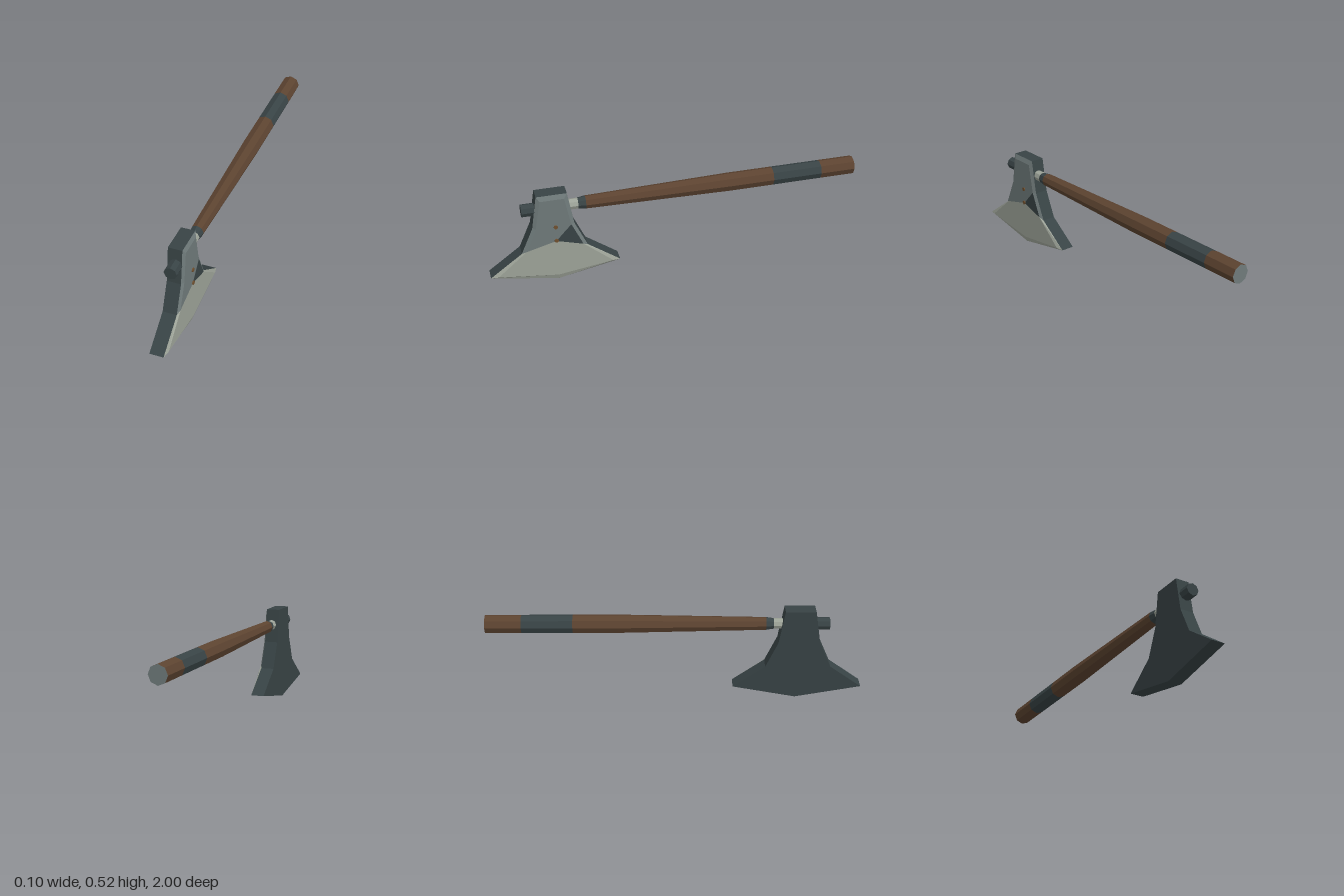
import * as THREE from 'three';

const mat = (name, color) => {
  const m = new THREE.MeshStandardMaterial({ color, flatShading: true });
  m.name = name;
  return m;
};

export function createModel() {
  const darkSteel = mat('dark steel', 0x384345);
  const steel = mat('steel', 0x6f7a7a);
  const blade = mat('polished blade', 0x9da398);
  const wood = mat('wood', 0x5c4330);
  const rivetMat = mat('rivet bronze', 0x70502f);

  const root = new THREE.Group();
  root.name = 'axe';
  const add = (parent, name, geo, material) => {
    const m = new THREE.Mesh(geo, material);
    m.name = name;
    parent.add(m);
    return m;
  };

  // Handle: octagonal sections along z, [name, zBack, zFront, rBack, rFront, material]
  const handle = new THREE.Group();
  handle.name = 'handle';
  handle.position.y = 0.432;
  root.add(handle);
  const sections = [
    ['pommelWood', -1, -0.81, 0.05, 0.05, wood],
    ['gripBand', -0.81, -0.54, 0.05, 0.05, darkSteel],
    ['upperGrip', -0.54, -0.3, 0.05, 0.05, wood],
    ['taperedShaft', -0.3, 0.475, 0.05, 0.035, wood],
    ['neckBand', 0.475, 0.515, 0.035, 0.029, darkSteel],
    ['collar', 0.515, 0.6, 0.029, 0.029, blade],
    ['frontStub', 0.7, 0.81, 0.034, 0.034, darkSteel],
  ];
  for (const [name, z0, z1, r0, r1, material] of sections) {
    const geo = new THREE.CylinderGeometry(r1, r0, z1 - z0, 8);
    geo.rotateX(Math.PI / 2);
    geo.translate(0, 0, (z0 + z1) / 2);
    add(handle, name, geo, name === 'pommelWood' ? [wood, wood, steel] : material);
  }

  // Head, drawn in a plane (u, y) and turned so that u points to -z
  const head = new THREE.Group();
  head.name = 'head';
  head.rotation.y = Math.PI / 2;
  head.position.set(-0.042, 0, 0.652);
  root.add(head);

  // Counter-clockwise outlines: lower edge, tip, shoulder, neck, top, and mirrored
  const outline = (half, bottom) => [
    [0.008, bottom],
    ...half,
    ...half.slice().reverse().map(([u, y]) => [-u, y]),
  ];
  const outer = outline([[0.345, 0.065], [0.174, 0.19], [0.11, 0.335], [0.08, 0.52]], 0);
  const inner = outline([[0.305, 0.07], [0.15, 0.203], [0.092, 0.335], [0.063, 0.495]], 0.03);
  const shape = (pts) => new THREE.Shape(pts.map(([u, y]) => new THREE.Vector2(u, y)));
  const DEPTH = 0.074, FACE = 0.084;

  add(head, 'headBody', new THREE.ExtrudeGeometry(shape(outer), { depth: DEPTH, bevelEnabled: false }), darkSteel);

  // Bevelled rim between the outer and inner outline
  const rim = (name, edges, material) => {
    const pos = [];
    for (const i of edges) {
      const j = (i + 1) % outer.length;
      const a = [...outer[i], DEPTH], b = [...outer[j], DEPTH];
      const c = [...inner[j], FACE], d = [...inner[i], FACE];
      pos.push(...a, ...b, ...c, ...a, ...c, ...d);
    }
    const geo = new THREE.BufferGeometry();
    geo.setAttribute('position', new THREE.Float32BufferAttribute(pos, 3));
    geo.computeVertexNormals();
    add(head, name, geo, material);
  };
  rim('bladeBevel', [0, 1, 7, 8], blade);
  rim('neckBevel', [2, 3, 4, 5, 6], steel);

  // Flat cheek, split into neck, blade and dark patch
  const face = (name, pts, material) => {
    add(head, name, new THREE.ShapeGeometry(shape(pts)), material).position.z = FACE;
  };
  const peak = [0.01, 0.245];
  const [bottom, tipR, shoulderR, neckR, topR, topL, neckL, shoulderL, tipL] = inner;
  face('bladeFace', [bottom, tipR, shoulderR, peak, shoulderL, tipL], blade);
  face('neckFace', [peak, [0.045, 0.285], neckR, topR, topL, neckL, shoulderL], steel);
  face('darkPatch', [peak, shoulderR, neckR, [0.045, 0.285]], darkSteel);

  // Rivets
  for (const y of [0.332, 0.249]) {
    const geo = new THREE.CylinderGeometry(0.011, 0.011, 0.012, 8);
    geo.rotateX(Math.PI / 2);
    add(head, 'rivet', geo, rivetMat).position.set(0.01, y, FACE);
  }
  return root;
}
